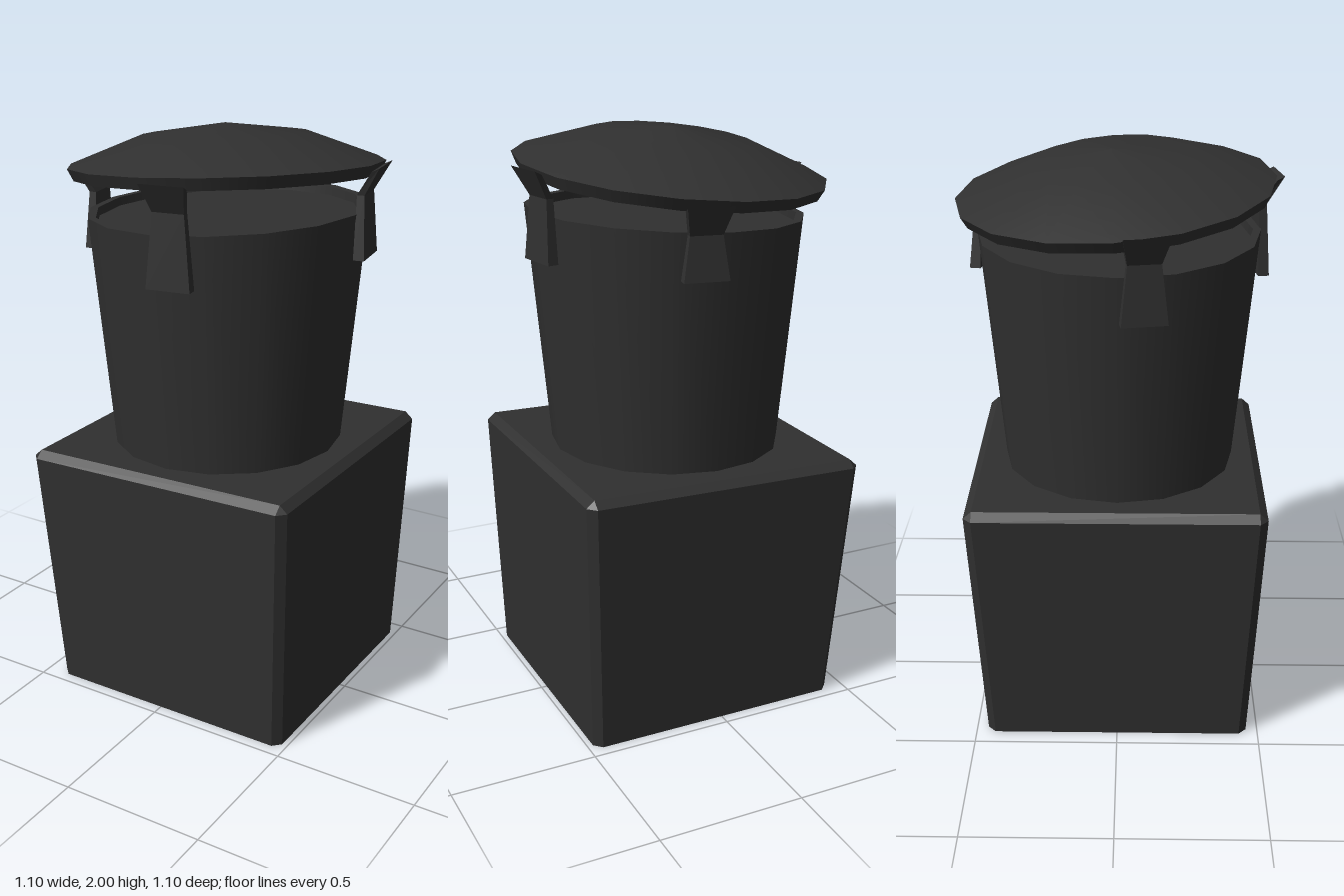
import * as THREE from 'three';

const SIDES = 16;

// Joins rings of points, each ordered counter-clockwise from above, bottom to top.
function loft(rings, capBottom, capTop) {
  const pos = [];
  const tri = (a, b, c) => pos.push(...a, ...b, ...c);
  const n = rings[0].length;
  for (let k = 0; k < rings.length - 1; k++) {
    for (let i = 0; i < n; i++) {
      const j = (i + 1) % n, lo = rings[k], hi = rings[k + 1];
      tri(lo[i], lo[j], hi[j]);
      tri(lo[i], hi[j], hi[i]);
    }
  }
  const top = rings[rings.length - 1];
  for (let i = 1; i < n - 1; i++) {
    if (capTop) tri(top[0], top[i], top[i + 1]);
    if (capBottom) tri(rings[0][0], rings[0][i + 1], rings[0][i]);
  }
  const g = new THREE.BufferGeometry();
  g.setAttribute('position', new THREE.Float32BufferAttribute(pos, 3));
  g.computeVertexNormals();
  return g;
}

// Square ring with chamfered corners, leaning in height along x.
function squareRing(cx, cz, half, chamfer, y, lean) {
  const s = half, t = half - chamfer;
  return [[-t, s], [t, s], [s, t], [s, -t], [t, -s], [-t, -s], [-s, -t], [-s, t]]
    .map(([x, z]) => [cx + x, y + lean * x, cz + z]);
}

function lathe(points) {
  return new THREE.LatheGeometry(points.map(([r, y]) => new THREE.Vector2(r, y)), SIDES);
}

export function createModel() {
  const model = new THREE.Group();
  model.name = 'chimney';
  const iron = new THREE.MeshStandardMaterial({ color: 0x303030, side: THREE.DoubleSide });
  iron.name = 'dark iron';

  const add = (name, geometry, parent = model) => {
    const mesh = new THREE.Mesh(geometry, iron);
    mesh.name = name;
    parent.add(mesh);
    return mesh;
  };

  // Bevelled base block, open underneath
  add('base', loft([
    squareRing(0.02, 0, 0.46, 0.027, 0, 0),
    squareRing(0.002, -0.004, 0.504, 0.028, 0.88, 0.02),
    squareRing(0.002, -0.004, 0.476, 0, 0.905, 0.02),
  ], false, true));

  // Tapered pot with a slanted top, a thin rim and a shallow recess
  const slant = (g) => {
    const p = g.attributes.position;
    for (let i = 0; i < p.count; i++) {
      const amount = THREE.MathUtils.clamp((p.getY(i) - 0.88) / 0.845, 0, 1);
      p.setY(i, p.getY(i) + 0.052 * amount * p.getX(i));
    }
    return g;
  };
  add('pot', slant(lathe([[0.4, 0.88], [0.477, 1.725]])));
  add('potRim', slant(lathe([[0.477, 1.725], [0.45, 1.725]])));
  add('potInnerWall', slant(lathe([[0.45, 1.725], [0.447, 1.695]])));
  add('potTop', slant(lathe([[0.447, 1.695], [0, 1.695]])));

  // Tilted lid: smooth dome, short skirt and underside
  const lid = new THREE.Group();
  lid.name = 'lid';
  lid.position.set(-0.015, 1.87, -0.012);
  lid.rotation.set(-0.075, 0, 0.075);
  model.add(lid);
  add('lidDome', lathe([[0.535, 0], [0.28, 0.096], [0, 0.13]]), lid);
  add('lidSkirt', lathe([[0.515, -0.04], [0.535, 0]]), lid);
  add('lidUnderside', lathe([[0, -0.04], [0.515, -0.04]]), lid);

  // Bent brackets holding the lid: angle around the pot, bottom height, top height
  const brackets = [
    ['frontBracket', 0.165, 1.56, 1.9],
    ['leftBracket', Math.PI / 2 + 0.16, 1.6, 1.905],
    ['backBracket', Math.PI - 0.185, 1.58, 1.82],
    ['rightBracket', -Math.PI / 2 + 0.175, 1.55, 1.84],
  ];
  for (const [name, angle, bottom, top] of brackets) {
    const section = (w, inner, outer, y, drop) => [
      [-w, y, outer], [w, y, outer], [w, y - drop, inner], [-w, y - drop, inner],
    ];
    const bracket = add(name, loft([
      section(0.075, 0.468, 0.505, bottom, 0),
      section(0.054, 0.468, 0.493, top - 0.095, 0),
      section(0.076, 0.52, 0.545, top, 0.012),
    ], true, true));
    bracket.rotation.y = angle;
  }

  return model;
}
